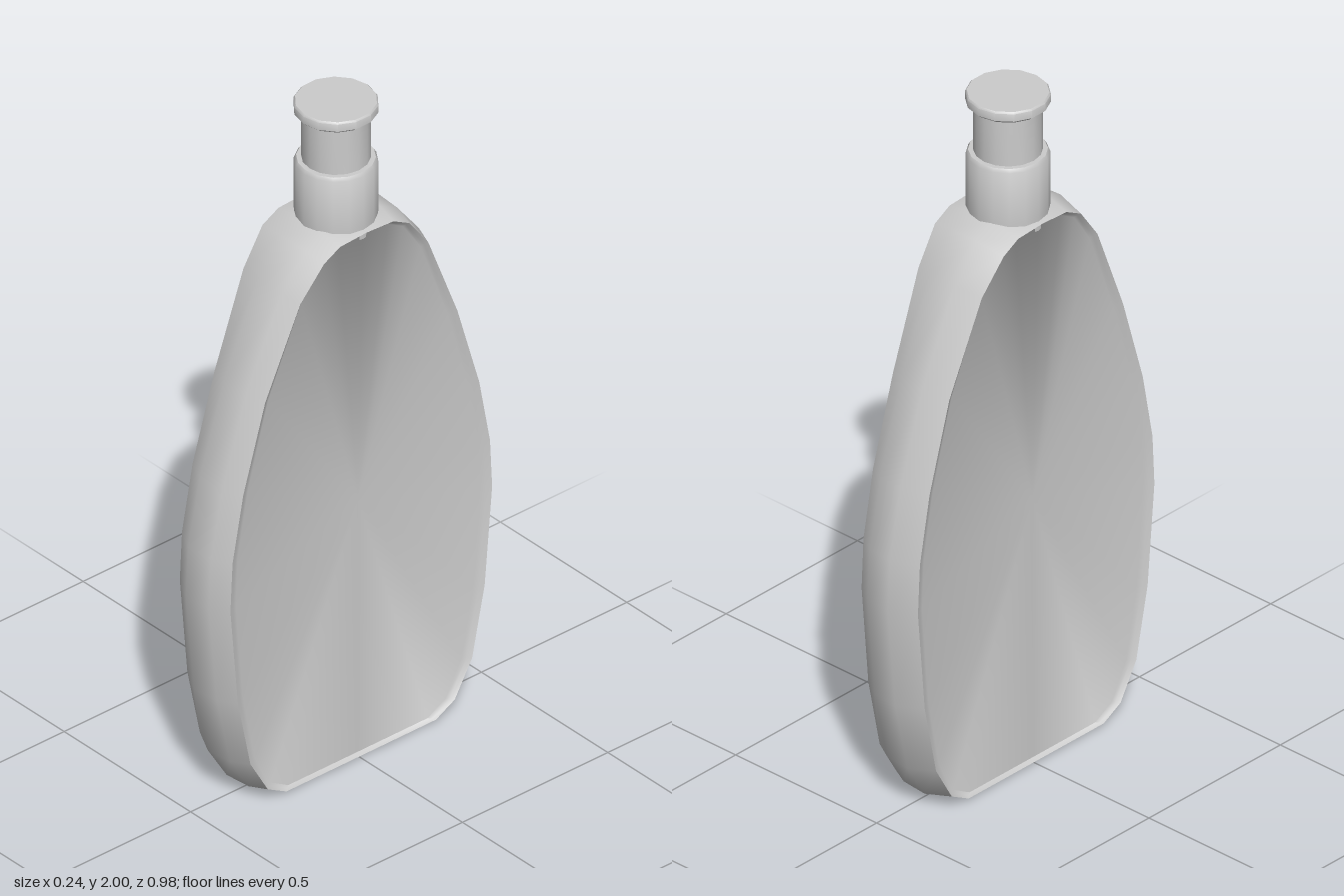
import * as THREE from 'three';
import { toCreasedNormals } from 'three/addons/utils/BufferGeometryUtils.js';

const material = new THREE.MeshStandardMaterial({ color: 0xcccccc });

// Half outline of the flat body as [z, y], from the base up to the shoulder
const half = [
  [0.28, 0], [0.35, 0.035], [0.415, 0.14], [0.462, 0.35], [0.49, 0.65], [0.482, 0.8],
  [0.442, 1.0], [0.36, 1.26], [0.24, 1.53], [0.16, 1.63], [0.1, 1.66],
];
const outline = [[0, 0], ...half, [0, 1.665], ...half.map(([z, y]) => [-z, y]).reverse()];

// Cross-section of the edge as [x, inset]: panel, raised rim, rounded side, rim, panel
const section = [
  [0.087, 0.07], [0.093, 0.055], [0.1, 0.04], [0.05, 0.009], [-0.03, 0],
  [-0.1, 0.04], [-0.093, 0.055], [-0.087, 0.07],
];

function buildBody() {
  const n = outline.length;
  const positions = [];
  const index = [];
  section.forEach(([x, inset]) => {
    for (const [z, y] of outline) {
      // the rim flares where the body meets the neck
      const flare = 1 + 0.22 * THREE.MathUtils.smoothstep(y, 1.4, 1.64);
      const middle = 0.65;
      const shrunkY = y > middle
        ? middle + (y - middle) * (1 - inset * 0.45)
        : middle + (y - middle) * (1 - inset * 0.3);
      positions.push(x * flare, shrunkY, z * (1 - inset / 0.49));
    }
  });
  // side strips
  for (let r = 0; r < section.length - 1; r++) {
    for (let j = 0; j < n; j++) {
      const k = (j + 1) % n;
      const a = r * n + j, b = r * n + k, c = b + n, d = a + n;
      index.push(a, b, d, b, c, d);
    }
  }
  // front and back panels
  const centre = section.length * n;
  positions.push(0.087, 0.8, 0, -0.087, 0.8, 0);
  const last = (section.length - 1) * n;
  for (let j = 0; j < n; j++) {
    const k = (j + 1) % n;
    index.push(centre, k, j, centre + 1, last + j, last + k);
  }
  const geometry = new THREE.BufferGeometry();
  geometry.setAttribute('position', new THREE.Float32BufferAttribute(positions, 3));
  geometry.setIndex(index);
  return toCreasedNormals(geometry, 0.8);
}

// Turned part from a [radius, y] profile
function turned(profile, segments) {
  const points = profile.map(([r, y]) => new THREE.Vector2(r, y));
  return toCreasedNormals(new THREE.LatheGeometry(points, segments), 0.7);
}

export function createModel() {
  const group = new THREE.Group();
  const add = (name, geometry) => {
    const mesh = new THREE.Mesh(geometry, material);
    mesh.name = name;
    group.add(mesh);
  };
  add('body', buildBody());
  add('collar', turned([[0, 1.62], [0.108, 1.62], [0.11, 1.66], [0.11, 1.815], [0.104, 1.825], [0, 1.825]], 16));
  add('neck', turned([[0, 1.8], [0.091, 1.8], [0.091, 1.98], [0, 1.98]], 16));
  add('cap', turned([[0, 1.963], [0.1, 1.963], [0.112, 1.973], [0.112, 1.995], [0.108, 2], [0, 2]], 14));
  return group;
}
